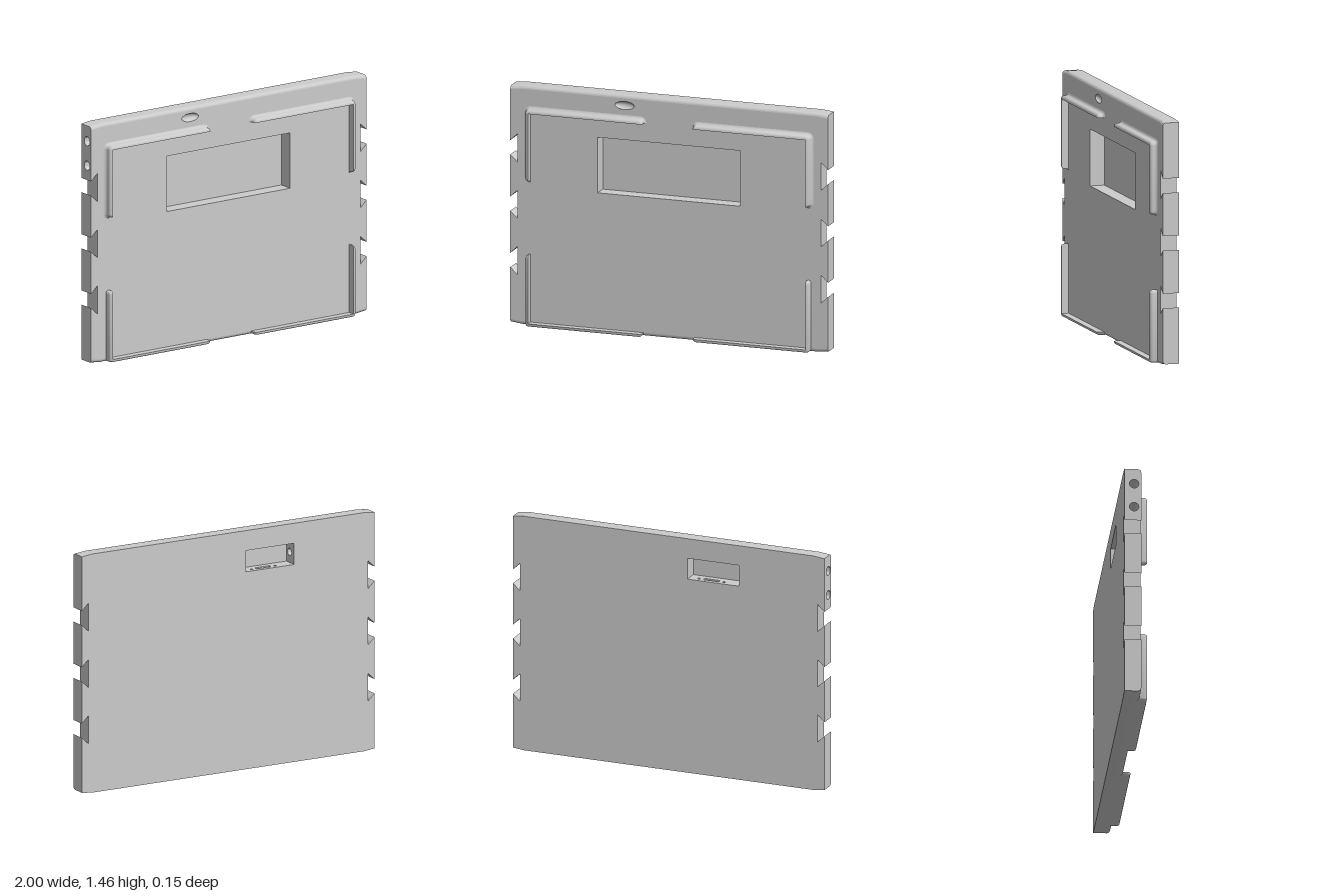
import * as THREE from 'three';
import { toCreasedNormals } from 'three/addons/utils/BufferGeometryUtils.js';

const H = 1.463, BACK = -0.07, FRONT = 0.03, R = 0.02, DROP = 0.008, BEND = 0.93;
// dovetail notches: [edge low, edge high]; the inner end is wider by FLARE
const NOTCHES = [[0.345, 0.432], [0.69, 0.777], [1.035, 1.122]];
const FLARE = 0.042, INNER = 0.955;

const V = (x, y, z) => new THREE.Vector3(x, y, z);
const X = V(1, 0, 0), Y = V(0, 1, 0), Z = V(0, 0, 1);
const grey = new THREE.MeshStandardMaterial({ color: 0xcccccc, side: THREE.DoubleSide });

function mesh(name, geometry) {
  const m = new THREE.Mesh(geometry, grey);
  m.name = name;
  return m;
}

// surface through rows of points; optional flat caps on the first and last row
function patch(rows, caps = false) {
  const pos = [];
  const tri = (...p) => p.forEach(q => pos.push(q.x, q.y, q.z));
  for (let i = 0; i < rows.length - 1; i++) {
    for (let j = 0; j < rows[i].length - 1; j++) {
      const a = rows[i][j], b = rows[i + 1][j], c = rows[i + 1][j + 1], d = rows[i][j + 1];
      tri(a, b, c);
      tri(a, c, d);
    }
  }
  if (caps) {
    const s = rows[0], e = rows[rows.length - 1], n = s.length - 1;
    for (let j = 0; j < n - 1; j++) {
      tri(s[n], s[j], s[j + 1]);
      tri(e[n], e[j + 1], e[j]);
    }
  }
  const g = new THREE.BufferGeometry();
  g.setAttribute('position', new THREE.Float32BufferAttribute(pos, 3));
  return toCreasedNormals(g, 0.6);
}

// flat shape placed at origin o with axes u and v, facing u x v
function face(name, shape, o, u, v) {
  const m = new THREE.Matrix4().makeBasis(u, v, u.clone().cross(v)).setPosition(o);
  return mesh(name, new THREE.ShapeGeometry(shape, 24).applyMatrix4(m));
}

const poly = pts => new THREE.Shape(pts.map(p => new THREE.Vector2(...p)));
const rect = (x0, x1, y0, y1) => poly([[x0, y0], [x1, y0], [x1, y1], [x0, y1]]);
const oval = (x, y, rx, ry = rx) => new THREE.Path().absellipse(x, y, rx, ry, 0, Math.PI * 2);

// rectangular recess opening towards +z; skip lists walls: 0 bottom, 1 right, 2 top, 3 left
function pit(name, w, h, depth, skip = []) {
  const g = new THREE.Group();
  g.name = name;
  const c = [[-w / 2, -h / 2], [w / 2, -h / 2], [w / 2, h / 2], [-w / 2, h / 2]];
  for (let i = 0; i < 4; i++) {
    if (skip.includes(i)) continue;
    const row = ([x, y]) => [V(x, y, 0), V(x, y, -depth)];
    g.add(mesh('recessWall', patch([row(c[i]), row(c[(i + 1) % 4])])));
  }
  g.add(face('recessFloor', poly(c), V(0, 0, -depth), X, Y));
  return g;
}

// round blind hole whose mouth faces dir
function bore(name, r, depth, pos, dir) {
  const pts = [[0, -depth], [r, -depth], [r, 0]].map(p => new THREE.Vector2(...p));
  const m = mesh(name, toCreasedNormals(new THREE.LatheGeometry(pts, 24), 0.6));
  m.position.copy(pos);
  m.quaternion.setFromUnitVectors(Y, dir);
  return m;
}

// panel outline, inset by r at top and bottom
function outline(r) {
  const side = NOTCHES.flatMap(([a, b]) => [[1, a], [INNER, a - FLARE], [INNER, b + FLARE], [1, b]]);
  const right = [[BEND, r], [1, DROP + r], ...side, [1, H - DROP - r], [BEND, H - r]];
  return poly([...right, ...right.map(([x, y]) => [-x, y]).reverse()]);
}

// quarter-round from the front face to the edge: [inset from edge, z]
const roundEdge = Array.from({ length: 7 }, (_, i) => {
  const a = (i / 6) * Math.PI / 2;
  return [R * (1 - Math.sin(a)), FRONT - R + R * Math.cos(a)];
});

// one edge of the panel, built on the -x side
function sideEdge(holes) {
  const g = new THREE.Group();
  g.name = 'sideEdge';
  const ends = [DROP, ...NOTCHES.flat(), H - DROP];
  for (let i = 0; i < 4; i++) {
    const a = ends[2 * i], b = ends[2 * i + 1];
    const low = i === 0 ? roundEdge.map(([d, z]) => [z, a + d]).reverse() : [[FRONT, a]];
    const top = i === 3 ? roundEdge.map(([d, z]) => [z, b - d]) : [[FRONT, b]];
    const shape = poly([[BACK, a], ...low, ...top, [BACK, b]]);
    if (i === 3) shape.holes.push(...holes);
    g.add(face('edgeTab', shape, V(-1, 0, 0), Z, Y));
  }
  for (const [a, b] of NOTCHES) {
    const line = [[-1, a], [-INNER, a - FLARE], [-INNER, b + FLARE], [-1, b]];
    g.add(mesh('dovetailNotch', patch(line.map(([x, y]) => [V(x, y, FRONT), V(x, y, BACK)]))));
  }
  return g;
}

// L-shaped lip: a profile fanned around the ends and corner of its inner line
function cornerLip(name, x, y, xEnd, yEnd, profile) {
  const rows = [];
  [[x, yEnd, -90], [x, y, 0], [xEnd, y, 90]].forEach(([px, py, start]) => {
    for (let k = 0; k <= 6; k++) {
      const a = (start + k * 15) * Math.PI / 180;
      rows.push(profile.map(([o, z]) => V(px + o * Math.cos(a), py + o * Math.sin(a), z)));
    }
  });
  return mesh(name, patch(rows, true));
}

export function createModel() {
  const model = new THREE.Group();

  // front face with the wide pocket and the finger dimple
  const front = outline(R);
  front.holes.push(rect(-0.45, 0.445, 0.85, 1.19), oval(-0.28, 1.4, 0.06, 0.025));
  model.add(face('frontFace', front, V(0, 0, FRONT), X, Y));
  const pocket = pit('frontPocket', 0.895, 0.34, 0.09);
  pocket.position.set(-0.0025, 1.02, FRONT);
  const dish = new THREE.SphereGeometry(1, 32, 8, 0, Math.PI * 2, Math.PI / 2, Math.PI / 2);
  const dimple = mesh('fingerDimple', dish.scale(0.06, 0.025, 0.025).rotateX(Math.PI / 2));
  dimple.position.set(-0.28, 1.4, FRONT);
  model.add(pocket, dimple);

  // back face with the connector bay
  const back = outline(0);
  back.holes.push(rect(0.12, 0.45, 1.21, 1.34));
  model.add(face('backFace', back, V(0, 0, BACK), X.clone().negate(), Y));
  const bay = pit('connectorBay', 0.33, 0.13, 0.09, [0, 1]);
  bay.position.set(-0.285, 1.275, BACK);
  bay.rotation.y = Math.PI;
  model.add(bay);

  // bay floor: slot between two screw holes
  const floor = rect(-0.45, -0.12, -0.02, 0.07);
  floor.holes.push(rect(-0.31, -0.21, 0.018, 0.042));
  for (const x of [-0.34, -0.18]) {
    floor.holes.push(oval(x, 0.035, 0.009));
    model.add(bore('screwHole', 0.009, 0.018, V(x, 1.21, -0.035), Y));
  }
  model.add(face('bayFloor', floor, V(0, 1.21, 0), X, Z.clone().negate()));
  const slot = pit('connectorSlot', 0.1, 0.024, 0.018);
  slot.position.set(-0.26, 1.21, -0.03);
  slot.rotation.x = -Math.PI / 2;
  model.add(slot);

  // bay end wall with the cable hole
  const wall = rect(-0.02, 0.07, 1.21, 1.34);
  wall.holes.push(oval(0.015, 1.275, 0.022));
  model.add(face('bayEndWall', wall, V(-0.45, 0, 0), Z.clone().negate(), Y));
  model.add(bore('cableHole', 0.022, 0.1, V(-0.45, 1.275, -0.015), X));

  // top and bottom edges, rounded at the front
  const profile = [...roundEdge, [0, BACK]];
  const stations = [[-1, DROP], [-BEND, 0], [BEND, 0], [1, DROP]];
  model.add(mesh('topEdge', patch(stations.map(([x, d]) =>
    profile.map(([o, z]) => V(x, H - d - o, z))))));
  model.add(mesh('bottomEdge', patch(stations.map(([x, d]) =>
    profile.map(([o, z]) => V(x, d + o, z)).reverse()))));

  // side edges; one carries two round holes
  const holeY = [1.21, 1.36], holeZ = -0.012;
  model.add(sideEdge(holeY.map(y => oval(holeZ, y, 0.028))));
  for (const y of holeY) model.add(bore('sideHole', 0.028, 0.12, V(-1, y, holeZ), X.clone().negate()));
  const leftEdge = sideEdge([]);
  leftEdge.scale.x = -1;
  model.add(leftEdge);

  // raised corner lips
  const crown = [[0.022, 0.056], [0.0205, 0.064], [0.0165, 0.071], [0.009, 0.075], [0, 0.075]];
  const upper = [[0.037, 0.03], [0.029, 0.033], [0.024, 0.039], [0.022, 0.046], ...crown, [0, 0.03]];
  const lower = [[0.02, 0.005], ...crown.map(([o, z]) => [o * 0.91, z]), [0, 0.005]];
  for (const s of [1, -1]) {
    const top = cornerLip('upperLip', 0.872, 1.305, 0.18, 0.91, upper);
    top.scale.x = s;
    const bottom = cornerLip('lowerLip', 0.873, -0.02, 0.18, -0.418, lower);
    bottom.scale.set(s, -1, 1);
    model.add(top, bottom);
  }
  return model;
}
